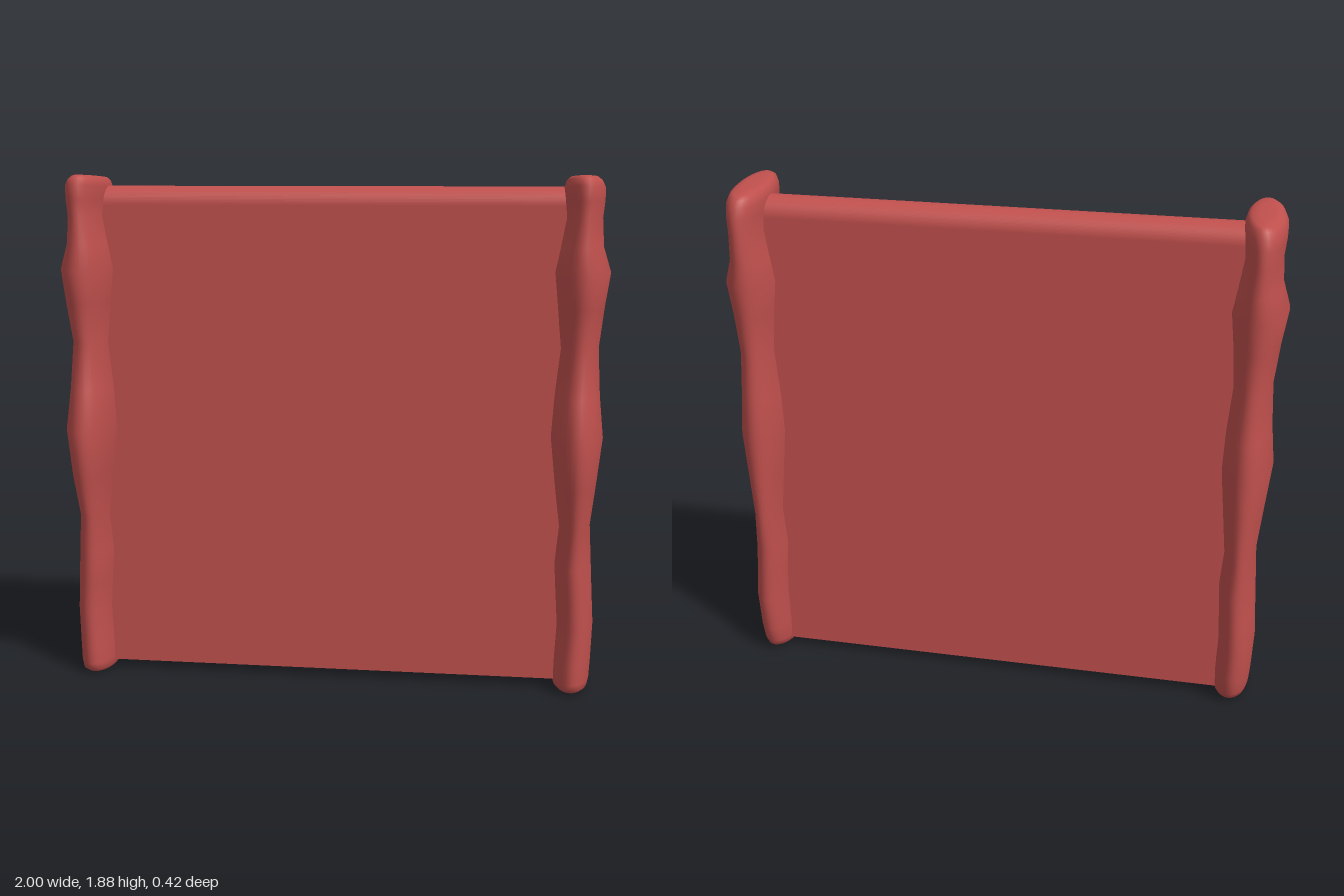
import * as THREE from 'three';

const material = new THREE.MeshStandardMaterial({ color: 0xc0504d });

// Post cross-sections: [y, outer x, inner x, front z, back z]
const RINGS = [
  [0.005, 0.925, 0.865, 0.07, -0.07],
  [0.008, 0.95, 0.845, 0.115, -0.115],
  [0.02, 0.963, 0.835, 0.135, -0.14],
  [0.045, 0.968, 0.832, 0.14, -0.155],
  [0.11, 0.972, 0.832, 0.138, -0.17],
  [0.25, 0.977, 0.838, 0.135, -0.18],
  [0.36, 0.97, 0.832, 0.142, -0.177],
  [0.48, 0.963, 0.825, 0.15, -0.182],
  [0.62, 0.955, 0.838, 0.147, -0.19],
  [0.78, 0.972, 0.82, 0.198, -0.2],
  [0.95, 0.99, 0.802, 0.214, -0.204],
  [1.1, 0.975, 0.81, 0.182, -0.2],
  [1.27, 0.966, 0.825, 0.14, -0.18],
  [1.42, 0.982, 0.813, 0.183, -0.197],
  [1.54, 1.0, 0.8, 0.19, -0.21],
  [1.63, 0.972, 0.818, 0.182, -0.21],
  [1.73, 0.966, 0.835, 0.166, -0.21],
  [1.79, 0.972, 0.83, 0.173, -0.208],
  [1.835, 0.972, 0.828, 0.173, -0.198],
  [1.86, 0.96, 0.835, 0.16, -0.185],
  [1.872, 0.945, 0.848, 0.135, -0.165],
  [1.874, 0.925, 0.87, 0.08, -0.1],
];
const SEGMENTS = 40;

// Lofts elliptical rings into a closed, smooth post on the given side
function postGeometry(side) {
  const positions = [];
  const index = [];
  const tri = (a, b, c) => (side > 0 ? index.push(a, b, c) : index.push(a, c, b));

  for (const [y, outer, inner, front, back] of RINGS) {
    const tilt = y > 1.8 ? 0.05 : 0;
    for (let i = 0; i < SEGMENTS; i++) {
      const a = (i / SEGMENTS) * Math.PI * 2;
      const x = (outer + inner) / 2 + ((outer - inner) / 2) * Math.cos(a);
      const z = (front + back) / 2 + ((front - back) / 2) * Math.sin(a);
      positions.push(side * x, y + tilt * z, z);
    }
  }
  for (let r = 0; r < RINGS.length - 1; r++) {
    for (let i = 0; i < SEGMENTS; i++) {
      const j = (i + 1) % SEGMENTS;
      const a = r * SEGMENTS + i, b = r * SEGMENTS + j;
      tri(a, a + SEGMENTS, b);
      tri(b, a + SEGMENTS, b + SEGMENTS);
    }
  }
  // End caps
  const last = (RINGS.length - 1) * SEGMENTS;
  const bottom = positions.length / 3;
  positions.push(side * 0.895, 0.003, 0, side * 0.897, 1.875, -0.01);
  for (let i = 0; i < SEGMENTS; i++) {
    const j = (i + 1) % SEGMENTS;
    tri(bottom, i, j);
    tri(bottom + 1, last + j, last + i);
  }

  const geometry = new THREE.BufferGeometry();
  geometry.setAttribute('position', new THREE.Float32BufferAttribute(positions, 3));
  geometry.setIndex(index);
  geometry.computeVertexNormals();
  return geometry;
}

// Flat board with a half-round top edge, extruded across the width
function panelGeometry() {
  const radius = 0.067, width = 1.8;
  const shape = new THREE.Shape();
  shape.moveTo(-radius, 0.035);
  shape.lineTo(radius, 0.035);
  shape.lineTo(radius, 1.838 - radius);
  shape.absarc(0, 1.838 - radius, radius, 0, Math.PI, false);
  shape.closePath();
  const geometry = new THREE.ExtrudeGeometry(shape, { depth: width, bevelEnabled: false, curveSegments: 24 });
  geometry.translate(0, 0, -width / 2);
  geometry.rotateY(Math.PI / 2);
  geometry.translate(0, 0, -0.025);
  return geometry;
}

export function createModel() {
  const model = new THREE.Group();
  model.name = 'headboard';

  const panel = new THREE.Mesh(panelGeometry(), material);
  panel.name = 'panel';
  model.add(panel);

  for (const [name, side] of [['leftPost', 1], ['rightPost', -1]]) {
    const post = new THREE.Mesh(postGeometry(side), material);
    post.name = name;
    model.add(post);
  }
  return model;
}
